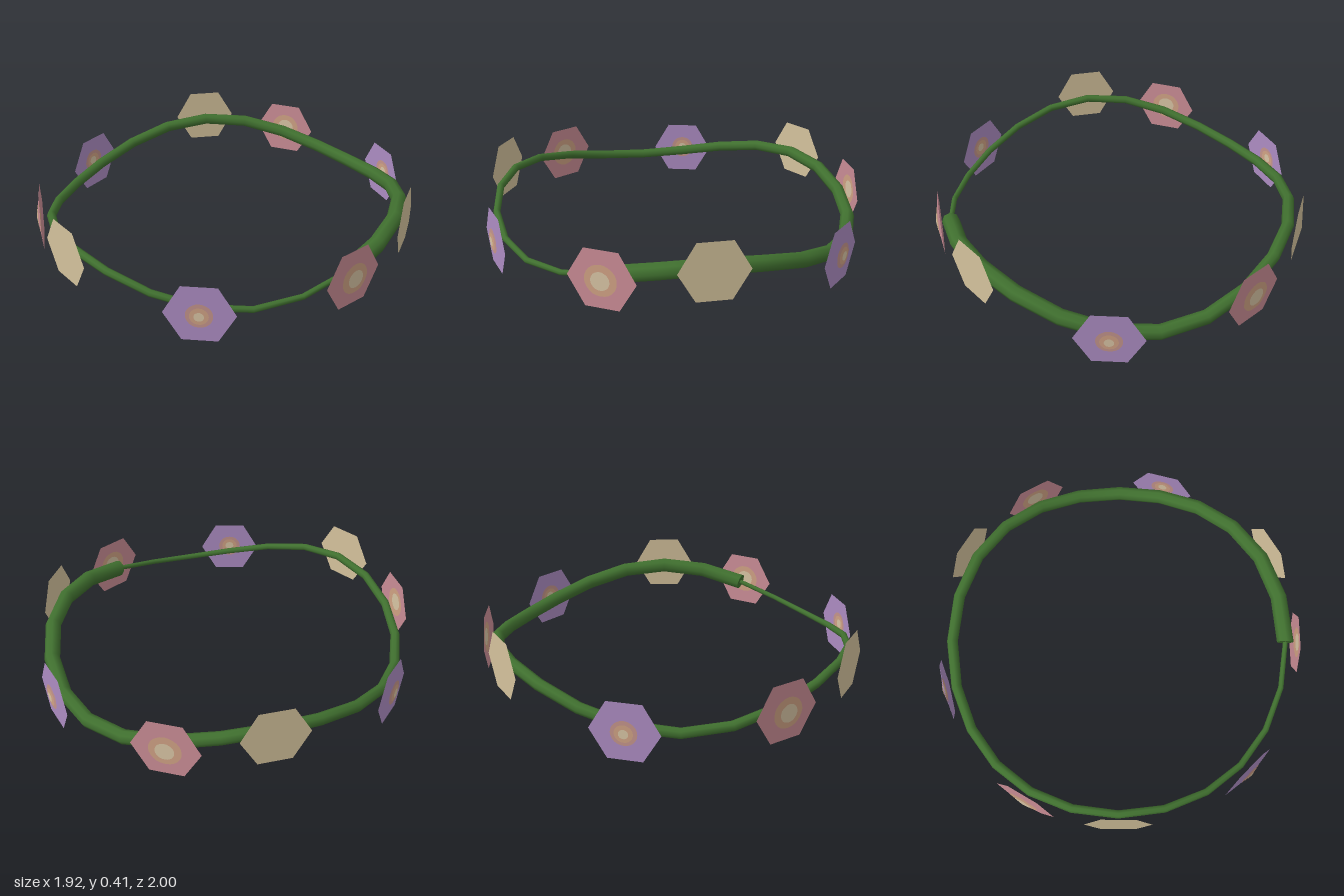
import * as THREE from 'three';

const flat = (name, color, double) => {
  const m = new THREE.MeshStandardMaterial({ color });
  m.name = name;
  if (double) m.side = THREE.DoubleSide;
  return m;
};

// Elliptical wreath path that rises and falls three times; starts at +x and runs round the back
class WreathCurve extends THREE.Curve {
  constructor(offset = 0) {
    super();
    this.offset = offset;
  }
  getPoint(t, target = new THREE.Vector3()) {
    const a = t * Math.PI * 2;
    return target.set(
      -0.005 + (0.89 + this.offset) * Math.cos(a),
      0.194 + 0.065 * Math.sin(3 * a),
      -0.013 - (0.932 + this.offset) * Math.sin(a));
  }
  getUtoTmapping(u) { return u; }
}

const SEGMENTS = 24, SIDES = 8;
const stemRadius = t => 0.045 - 0.032 * t;

// Vine tube tapering from a thick start to a thin tip
function makeVine(material) {
  const group = new THREE.Group();
  group.name = 'vine';
  const path = new WreathCurve();
  const geo = new THREE.TubeGeometry(path, SEGMENTS, 1, SIDES, false);
  const pos = geo.attributes.position, v = new THREE.Vector3();
  for (let i = 0; i <= SEGMENTS; i++) {
    const centre = path.getPoint(i / SEGMENTS);
    for (let j = 0; j <= SIDES; j++) {
      const k = i * (SIDES + 1) + j;
      v.fromBufferAttribute(pos, k).sub(centre).multiplyScalar(stemRadius(i / SEGMENTS)).add(centre);
      pos.setXYZ(k, v.x, v.y, v.z);
    }
  }
  const stem = new THREE.Mesh(geo, material);
  stem.name = 'stem';
  group.add(stem);
  // End caps
  for (const [t, dir] of [[0, -1], [1, 1]]) {
    const cap = new THREE.Mesh(new THREE.CircleGeometry(stemRadius(t), SIDES), material);
    cap.name = t ? 'stemTip' : 'stemBase';
    cap.position.copy(path.getPoint(t));
    cap.lookAt(cap.position.clone().addScaledVector(path.getTangentAt(t), dir));
    group.add(cap);
  }
  return group;
}

const PETAL_R = 0.17, PETAL_H = 0.022;

// Disc draped over the shallow six-sided blossom cone
function coneDisc(radius, sides, lift) {
  const geo = new THREE.CircleGeometry(radius, sides);
  const pos = geo.attributes.position, step = Math.PI / 3;
  for (let i = 0; i < pos.count; i++) {
    const x = pos.getX(i), y = pos.getY(i);
    const a = Math.atan2(y, x) + 2 * Math.PI;
    const across = Math.hypot(x, y) * Math.cos((a % step) - step / 2) / (PETAL_R * Math.cos(step / 2));
    pos.setZ(i, PETAL_H * (1 - across) + lift);
  }
  return geo;
}

function makeFlower(kind) {
  const flower = new THREE.Group();
  flower.name = kind.name;
  const petals = new THREE.Mesh(coneDisc(PETAL_R, 6, 0), kind.petal);
  petals.name = 'petals';
  flower.add(petals);
  // Concentric heart rings, painted on both faces
  kind.rings.forEach(([radius, material], i) => {
    for (const side of [1, -1]) {
      const ring = new THREE.Mesh(coneDisc(radius, 24, side * 0.0015 * (i + 1)), material);
      ring.name = side > 0 ? 'heartRingOuter' : 'heartRingInner';
      flower.add(ring);
    }
  });
  return flower;
}

export function createModel() {
  const model = new THREE.Group();
  model.name = 'flowerWreath';

  const green = flat('vineGreen', 0x40702f);
  const pink = flat('petalPink', 0xcb8d96, true);
  const purple = flat('petalPurple', 0xac8cc2, true);
  const tan = flat('petalCream', 0xd4c29c, true);
  const peach = flat('heartPeach', 0xd0a284, true);
  const rose = flat('heartRose', 0xc4948c, true);
  const pale = flat('heartPale', 0xd8c4a4, true);

  model.add(makeVine(green));

  const kinds = [
    { name: 'pinkFlower', petal: pink, rings: [[0.08, peach], [0.047, pale]] },
    { name: 'creamFlower', petal: tan, rings: [] },
    { name: 'purpleFlower', petal: purple, rings: [[0.064, rose], [0.045, peach], [0.024, pale]] },
  ];

  // Blossoms face outwards, just outside the vine
  const outer = new WreathCurve(0.05);
  [0, 30, 75, 120, 150, 195, 240, 270, 315].forEach((deg, i) => {
    const flower = makeFlower(kinds[i % 3]);
    flower.position.copy(outer.getPoint(deg / 360));
    flower.rotation.y = THREE.MathUtils.degToRad(deg + 90);
    model.add(flower);
  });
  return model;
}
